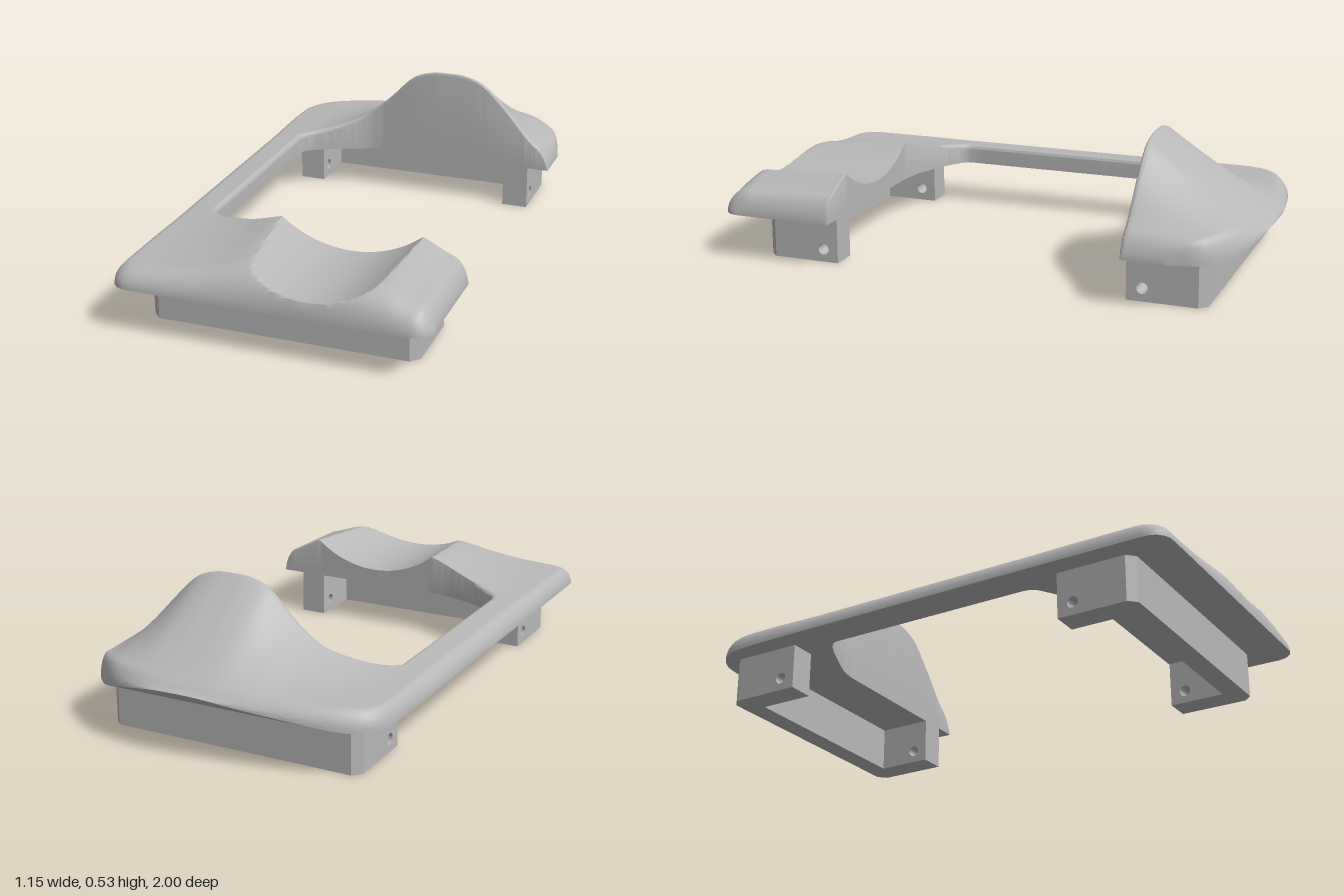
import * as THREE from 'three';
import { toCreasedNormals } from 'three/addons/utils/BufferGeometryUtils.js';

const V = (x, z) => new THREE.Vector2(x, z); // plan points: x, z
const lerp = THREE.MathUtils.lerp;
const clamp01 = (t) => Math.min(1, Math.max(0, t));
const ellipse = (t) => Math.sqrt(1 - (1 - clamp01(t)) ** 2); // rounded edge rise, 0..1

// Smooth interpolation through [x, value] points
function smoothCurve(p) {
  const slope = p.map((_, i) => {
    const a = p[Math.max(0, i - 1)], b = p[Math.min(p.length - 1, i + 1)];
    return (b[1] - a[1]) / (b[0] - a[0]);
  });
  return (x) => {
    let i = 0;
    while (i < p.length - 2 && x > p[i + 1][0]) i++;
    const w = p[i + 1][0] - p[i][0], t = clamp01((x - p[i][0]) / w);
    const t2 = t * t, t3 = t2 * t;
    return (2 * t3 - 3 * t2 + 1) * p[i][1] + (t3 - 2 * t2 + t) * w * slope[i]
      + (3 * t2 - 2 * t3) * p[i + 1][1] + (t3 - t2) * w * slope[i + 1];
  };
}

const HALF = 0.575, BASE = 0.17;

// Crest heights across the width
const backCrest = smoothCurve([[-0.575, 0.235], [-0.4, 0.25], [-0.3, 0.275], [-0.2, 0.32], [-0.1, 0.405],
  [0, 0.505], [0.08, 0.536], [0.15, 0.54], [0.22, 0.536], [0.3, 0.505], [0.4, 0.405], [0.5, 0.29], [0.575, 0.235]]);
const frontCrest = smoothCurve([[-0.575, 0.235], [-0.4, 0.25], [-0.25, 0.28], [-0.1, 0.326],
  [0.15, 0.37], [0.4, 0.328], [0.5, 0.28], [0.575, 0.25]]);
// Outer plan edge of the back arm
const backEdge = smoothCurve([[-0.3, -0.945], [-0.13, -0.972], [0.03, -0.997], [0.12, -1], [0.25, -0.987],
  [0.4, -0.945], [0.5, -0.875], [0.55, -0.81], [0.575, -0.72]]);
const frontEdge = (x) => 0.93 + Math.sqrt(Math.max(0, 0.07 ** 2 - Math.max(0, Math.abs(x) - 0.505) ** 2));

// Underside: flat, curling up to the back lip
const underside = (z) => BASE + 0.07 * clamp01((-z - 0.88) / 0.12) ** 1.6;

// Unrounded top surface
function topHeight(x, z) {
  const pb = backCrest(x), pf = frontCrest(x);
  const tb = clamp01((-z - 0.55) / 0.44);
  const back = lerp(pb, Math.min(pb, 0.245), 1 - (1 - tb) ** 1.1);
  const front = lerp(pf, 0.235 + 0.6 * (pf - 0.235), clamp01((z - 0.56) / 0.4));
  return lerp(back, front, THREE.MathUtils.smoothstep(z, -0.4, 0.4));
}

function topPoint(x, z, dOuter, dInner, radius) {
  const b = underside(z);
  let y = b + Math.max(0, topHeight(x, z) - b) * ellipse(dOuter / radius) * ellipse((HALF - x) / 0.05);
  // small rounding on the inner rim
  const r = z > 0.5 ? 0.004 : 0.018;
  y -= Math.min(y - b, r) * (1 - ellipse(dInner / r));
  // round scoop through the front arm
  const dx = x - 0.15;
  if (z > 0.5 && Math.abs(dx) < 0.4) y = Math.min(y, 0.64 - Math.sqrt(0.41 ** 2 - dx * dx));
  return Math.max(b, y);
}

// Cross-section stations running along the C: outer point, inner point, edge radius
function makeStations() {
  const list = [];
  const add = (o, i, r) => list.push({ o, i, r });
  const ARM = 84, CORNER = 40, SPINE = 16;
  // front arm
  for (let k = 0; k < ARM; k++) {
    const x = -0.1 + (HALF + 0.1) * Math.cos((k / ARM) * Math.PI / 2);
    add(V(x, frontEdge(x)), V(x, 0.56), 0.1);
  }
  // front corner
  const fOuter = new THREE.Path().moveTo(-0.1, 1).lineTo(-0.505, 1)
    .absarc(-0.505, 0.93, 0.07, Math.PI / 2, Math.PI, false).lineTo(-HALF, 0.4).getSpacedPoints(CORNER);
  const fInner = new THREE.SplineCurve([V(-0.1, 0.56), V(-0.2, 0.544), V(-0.31, 0.505), V(-0.4, 0.455),
    V(-0.427, 0.43), V(-0.435, 0.4)]).getSpacedPoints(CORNER);
  for (let k = 0; k < CORNER; k++) add(fOuter[k], fInner[k], lerp(0.1, 0.05, k / CORNER));
  // spine
  for (let k = 0; k < SPINE; k++) {
    const z = lerp(0.4, -0.4, k / SPINE);
    add(V(-HALF, z), V(-0.435, z), 0.05);
  }
  // back corner
  const bOuter = new THREE.SplineCurve([V(-HALF, -0.4), V(-HALF, -0.55), V(-0.572, -0.7), V(-0.558, -0.8),
    V(-0.51, -0.865), V(-0.42, -0.912), V(-0.3, -0.945), V(-0.13, -0.972)]).getSpacedPoints(CORNER);
  const bInner = new THREE.SplineCurve([V(-0.435, -0.4), V(-0.427, -0.42), V(-0.39, -0.45), V(-0.31, -0.49),
    V(-0.2, -0.537), V(-0.13, -0.55)]).getSpacedPoints(CORNER);
  for (let k = 0; k < CORNER; k++) add(bOuter[k], bInner[k], 0.05);
  // back arm
  for (let k = 0; k <= ARM; k++) {
    const x = -0.13 + (HALF + 0.13) * Math.sin((k / ARM) * Math.PI / 2);
    add(V(x, backEdge(x)), V(x, -0.55), 0.045);
  }
  return list;
}

// Sculpted C-shaped cover, lofted as closed rings
function coverGeometry() {
  const stations = makeStations(), N = 40, ring = 2 * (N + 1);
  const pos = [], index = [];
  for (const { o, i, r } of stations) {
    const len = o.distanceTo(i), top = [], bottom = [];
    for (let k = 0; k <= N; k++) {
      const v = 0.5 - 0.5 * Math.cos((k / N) * Math.PI);
      const x = lerp(o.x, i.x, v), z = lerp(o.y, i.y, v);
      top.push([x, topPoint(x, z, v * len, (1 - v) * len, r), z]);
      bottom.unshift([x, underside(z), z]);
    }
    pos.push(...top.flat(), ...bottom.flat());
  }
  for (let s = 0; s < stations.length - 1; s++) {
    for (let k = 0; k < ring; k++) {
      const n = (k + 1) % ring;
      const a = s * ring + k, b = s * ring + n, c = a + ring, d = b + ring;
      index.push(a, b, c, b, d, c);
    }
  }
  const g = new THREE.BufferGeometry();
  g.setAttribute('position', new THREE.Float32BufferAttribute(pos, 3));
  g.setIndex(index);
  return toCreasedNormals(g, 0.55);
}

// U-shaped mounting bracket: chamfered wall and two drilled tabs
function makeBracket(name, material) {
  const group = new THREE.Group();
  group.name = name;
  const wallShape = new THREE.Shape([V(-0.492, -0.77), V(-0.492, -0.82), V(-0.462, -0.85),
    V(0.462, -0.85), V(0.492, -0.82), V(0.492, -0.77)]);
  const wall = new THREE.Mesh(
    new THREE.ExtrudeGeometry(wallShape, { depth: BASE, bevelEnabled: false }).rotateX(-Math.PI / 2), material);
  wall.name = 'bracketWall';
  group.add(wall);

  const tabShape = new THREE.Shape([V(0.562, 0), V(0.77, 0), V(0.77, BASE), V(0.562, BASE)]);
  tabShape.holes.push(new THREE.Path().absarc(0.62, 0.048, 0.021, 0, Math.PI * 2, true));
  const tabGeometry = new THREE.ExtrudeGeometry(tabShape, { depth: 0.1, bevelEnabled: false, curveSegments: 8 })
    .rotateY(-Math.PI / 2);
  for (const x of [-0.392, 0.492]) {
    const tab = new THREE.Mesh(tabGeometry, material);
    tab.name = x < 0 ? 'rightTab' : 'leftTab';
    tab.position.x = x;
    group.add(tab);
  }
  return group;
}

export function createModel() {
  const model = new THREE.Group();
  model.name = 'saddleFrame';
  const grey = new THREE.MeshStandardMaterial({ color: 0xb8b8b8 });
  grey.name = 'plainGrey';

  const cover = new THREE.Mesh(coverGeometry(), grey);
  cover.name = 'sculptedCover';
  model.add(cover);

  model.add(makeBracket('frontBracket', grey));
  const back = makeBracket('backBracket', grey);
  back.rotation.y = Math.PI;
  back.position.z = 0.012;
  model.add(back);
  return model;
}
